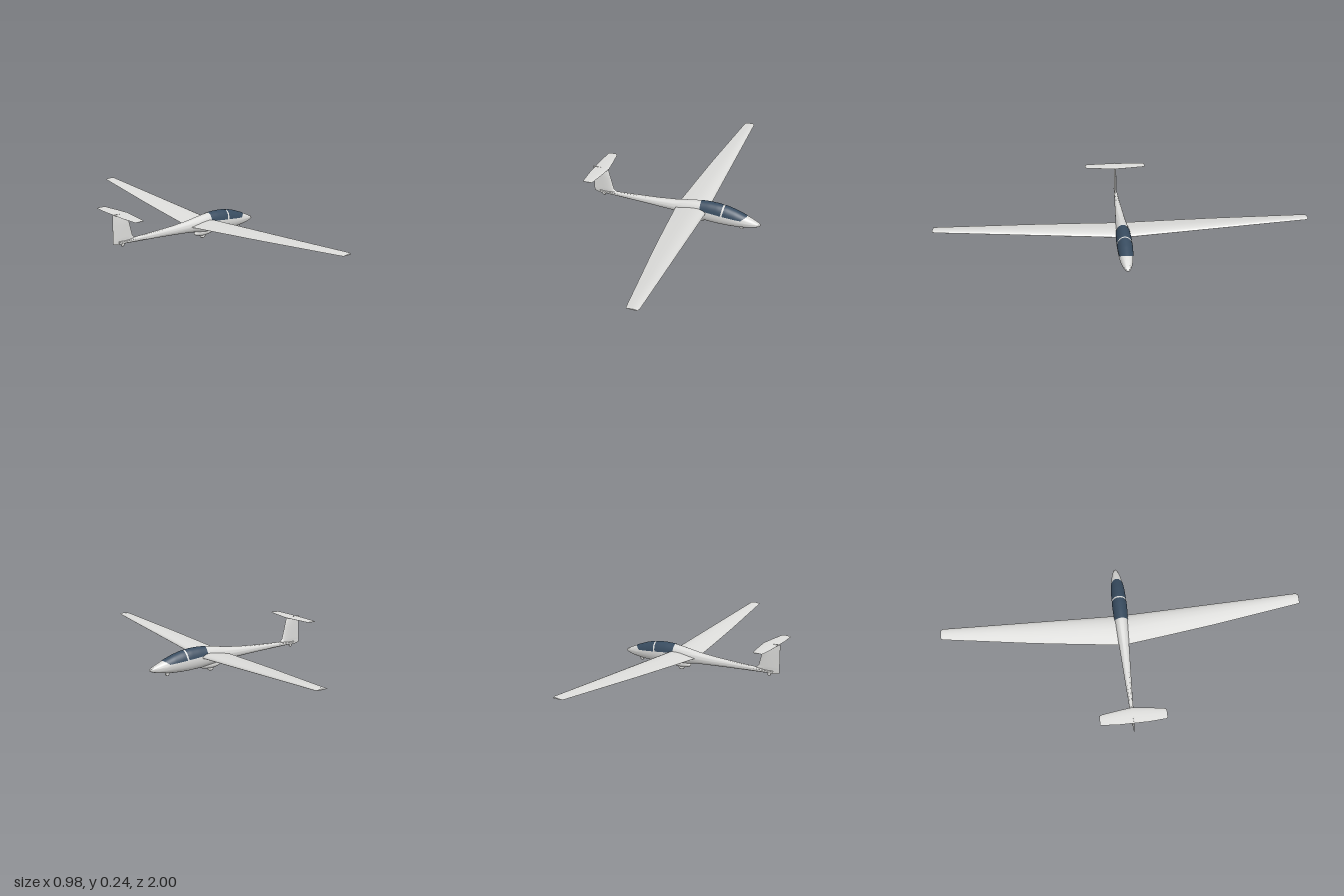
import * as THREE from 'three';
import { toCreasedNormals } from 'three/addons/utils/BufferGeometryUtils.js';

const paint = new THREE.MeshStandardMaterial({ color: 0xdcdcda });
paint.name = 'pale grey paint';
const glass = new THREE.MeshStandardMaterial({ color: 0x384c60, side: THREE.DoubleSide });
glass.name = 'dark blue glass';

// Fuselage stations: x, bottom y, top y, half width
const stations = [
  [-0.455, 0.079, 0.096, 0.006], [-0.4, 0.076, 0.098, 0.009], [-0.3, 0.071, 0.102, 0.013],
  [-0.2, 0.066, 0.106, 0.018], [-0.1, 0.06, 0.111, 0.023], [0, 0.053, 0.12, 0.028],
  [0.05, 0.047, 0.128, 0.031], [0.1, 0.038, 0.136, 0.035], [0.15, 0.031, 0.142, 0.038],
  [0.2, 0.026, 0.144, 0.04], [0.25, 0.023, 0.142, 0.041], [0.3, 0.022, 0.135, 0.04],
  [0.35, 0.024, 0.121, 0.038], [0.4, 0.029, 0.102, 0.033], [0.44, 0.035, 0.085, 0.025],
  [0.47, 0.043, 0.071, 0.016], [0.484, 0.049, 0.063, 0.009], [0.49, 0.055, 0.057, 0.002],
];

// Body section at any x, linear between stations
function sectionAt(x) {
  let i = 0;
  while (i < stations.length - 2 && stations[i + 1][0] < x) i++;
  const a = stations[i], b = stations[i + 1];
  const t = THREE.MathUtils.clamp((x - a[0]) / (b[0] - a[0]), 0, 1);
  const [bottom, top, half] = [1, 2, 3].map(k => a[k] + (b[k] - a[k]) * t);
  return { mid: (bottom + top) / 2, high: (top - bottom) / 2, half };
}

// Skin closed rings of [x, y, z] points, cap both ends, and face outward
function loft(rings, crease) {
  const n = rings[0].length, pos = rings.flat(2), idx = [];
  for (let r = 0; r < rings.length - 1; r++) {
    for (let i = 0; i < n; i++) {
      const j = (i + 1) % n, a = r * n + i, b = r * n + j;
      idx.push(a, b, a + n, b, b + n, a + n);
    }
  }
  const last = (rings.length - 1) * n;
  for (let i = 1; i < n - 1; i++) idx.push(0, i + 1, i, last, last + i, last + i + 1);
  let volume = 0;
  const p = i => new THREE.Vector3().fromArray(pos, i * 3);
  for (let i = 0; i < idx.length; i += 3) volume += p(idx[i]).dot(p(idx[i + 1]).cross(p(idx[i + 2])));
  if (volume < 0) idx.reverse();
  const g = new THREE.BufferGeometry();
  g.setAttribute('position', new THREE.Float32BufferAttribute(pos, 3));
  g.setIndex(idx);
  g.computeVertexNormals();
  return toCreasedNormals(g, crease);
}

// Airfoil outline as [chord fraction from leading edge, upper or lower offset]
function airfoil(upper, lower) {
  const c = [0, 0.015, 0.06, 0.15, 0.3, 0.5, 0.75, 1];
  const h = [0, 0.3, 0.6, 0.88, 1, 0.84, 0.43, 0.02];
  const over = c.map((v, i) => [v, h[i] * upper]);
  const under = c.map((v, i) => [v, -h[i] * lower]).slice(1).reverse();
  return [...over, ...under];
}

// Canopy pane wrapped over the body, with swept front and rear edges
function pane(rear, front, rearSweep, frontSweep) {
  const nu = 14, nv = 24, pos = [], idx = [];
  for (let u = 0; u <= nu; u++) {
    for (let v = 0; v <= nv; v++) {
      const s = v / nv * 2 - 1;
      const x0 = rear - rearSweep * s * s, x1 = front - frontSweep * s * s;
      const x = x0 + (x1 - x0) * u / nu;
      const sec = sectionAt(x);
      const sill = 0.097 - Math.max(0, x - 0.19) * 0.095;
      const reach = Math.acos(THREE.MathUtils.clamp((sill - sec.mid) / sec.high, -1, 1));
      pos.push(x, sec.mid + (sec.high + 0.0015) * Math.cos(s * reach), (sec.half + 0.0015) * Math.sin(s * reach));
      if (u < nu && v < nv) {
        const a = u * (nv + 1) + v, b = a + nv + 1;
        idx.push(a, a + 1, b, a + 1, b + 1, b);
      }
    }
  }
  const g = new THREE.BufferGeometry();
  g.setAttribute('position', new THREE.Float32BufferAttribute(pos, 3));
  g.setIndex(idx);
  g.computeVertexNormals();
  return g;
}

export function createModel() {
  const model = new THREE.Group();
  model.name = 'glider';
  const add = (name, geometry, material = paint) => {
    const mesh = new THREE.Mesh(geometry, material);
    mesh.name = name;
    model.add(mesh);
    return mesh;
  };

  // Fuselage
  add('fuselage', loft(stations.map(([x]) => {
    const s = sectionAt(x);
    return Array.from({ length: 32 }, (_, i) => {
      const a = i / 32 * Math.PI * 2;
      return [x, s.mid + s.high * Math.cos(a), s.half * Math.sin(a)];
    });
  }), 0.9));

  // Two-part canopy
  add('rearCanopy', pane(0.152, 0.278, 0, 0.008), glass);
  add('frontCanopy', pane(0.287, 0.412, 0.008, 0.03), glass);

  // Wing: span, leading x, trailing x, thickness
  const half = [[0, 0.187, 0.01, 0.03], [0.04, 0.187, 0.013, 0.029], [0.25, 0.187, 0.034, 0.025],
    [0.5, 0.187, 0.061, 0.02], [0.75, 0.187, 0.093, 0.015], [0.985, 0.187, 0.123, 0.011], [1, 0.181, 0.127, 0.006]];
  const mirror = list => [...list.slice(1).reverse().map(([z, ...r]) => [-z, ...r]), ...list];
  add('wing', loft(mirror(half).map(([z, lead, trail, t]) =>
    airfoil(t * 0.7, t * 0.3).map(([c, h]) => [lead + (trail - lead) * c, 0.086 + 0.069 * Math.abs(z) + h, z])), 0.7));

  // Tailplane on top of the fin
  const tail = [[0, -0.393, -0.479, 0.008], [0.08, -0.403, -0.479, 0.007],
    [0.165, -0.416, -0.473, 0.005], [0.177, -0.422, -0.47, 0.003]];
  add('tailplane', loft(mirror(tail).map(([z, lead, trail, t]) =>
    airfoil(t / 2, t / 2).map(([c, h]) => [lead + (trail - lead) * c, 0.239 + h, z])), 0.7));

  // Fin and rudder: height, leading x, trailing x, thickness
  const fin = [[0.077, -0.44, -0.462, 0.008], [0.085, -0.4, -0.49, 0.012], [0.099, -0.345, -0.49, 0.014],
    [0.104, -0.36, -0.49, 0.015], [0.115, -0.369, -0.49, 0.015], [0.18, -0.385, -0.49, 0.014],
    [0.235, -0.399, -0.49, 0.012], [0.242, -0.406, -0.49, 0.008]];
  add('fin', loft(fin.map(([y, lead, trail, t]) =>
    airfoil(t / 2, t / 2).map(([c, h]) => [lead + (trail - lead) * c, y, h])), 0.7));

  // Belly fairing around the main wheel
  const fairing = add('wheelFairing', new THREE.SphereGeometry(1, 32, 16));
  fairing.scale.set(0.07, 0.02, 0.018);
  fairing.position.set(0.122, 0.036, 0);

  // Wheels: name, x, y, radius, width
  for (const [name, x, y, r, w] of [['mainWheel', 0.115, 0.021, 0.021, 0.014],
    ['noseWheel', 0.383, 0.023, 0.013, 0.009], ['tailWheel', -0.431, 0.074, 0.011, 0.007]]) {
    const profile = [[0, -0.4], [0.6, -0.4], [0.72, -0.5], [0.9, -0.4], [1, 0], [0.9, 0.4], [0.72, 0.5], [0.6, 0.4], [0, 0.4]];
    const wheel = add(name, new THREE.LatheGeometry(profile.map(([a, b]) => new THREE.Vector2(a * r, b * w)), 28));
    wheel.rotation.x = Math.PI / 2;
    wheel.position.set(x, y, 0);
  }
  return model;
}
